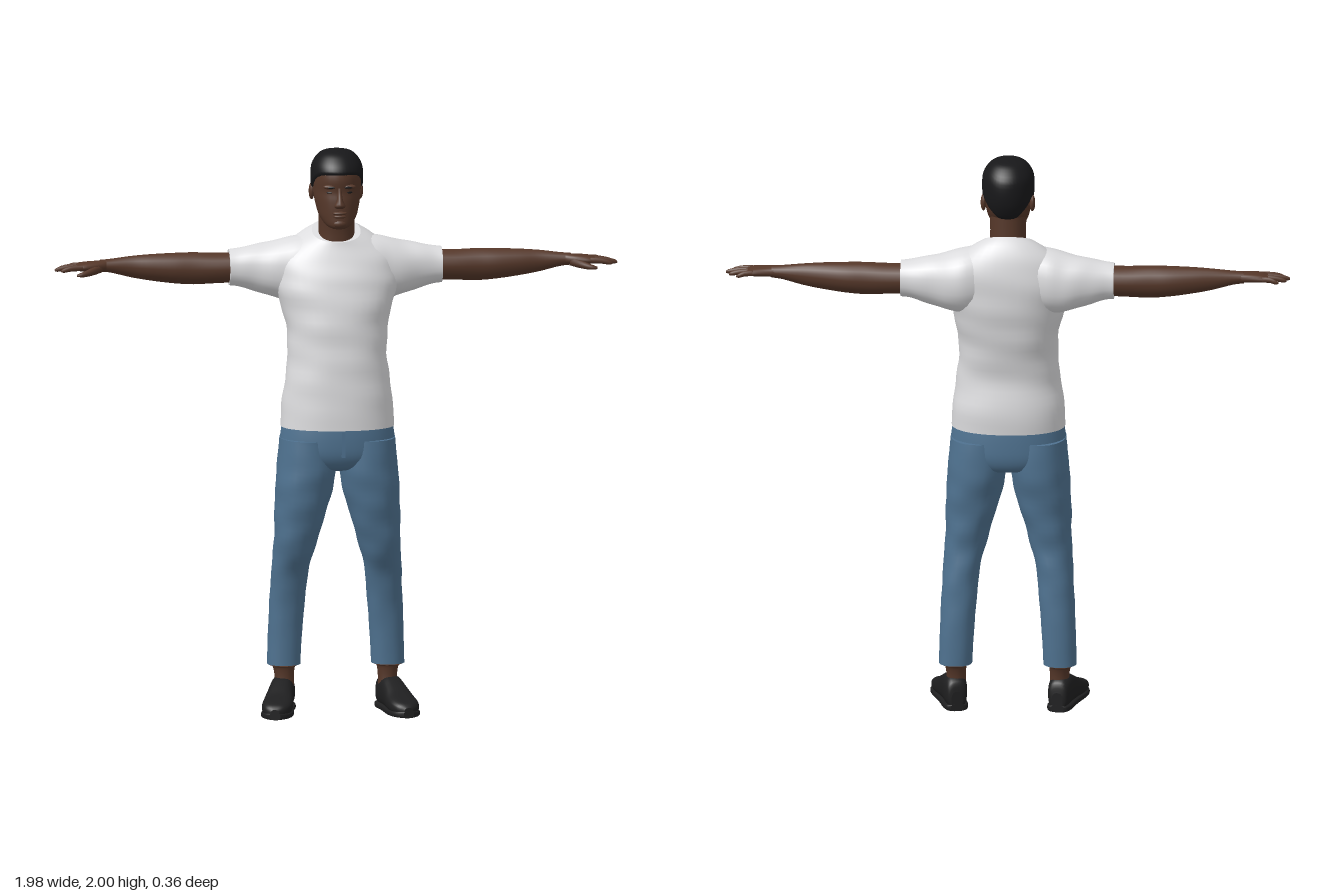
import * as THREE from 'three';

const mat = (name, color) => Object.assign(new THREE.MeshStandardMaterial({ color }), { name });
const skin = mat('skin', 0x553729), shirt = mat('shirt', 0xdcdcde), denim = mat('denim', 0x4f7290);
const black = mat('shoe black', 0x1f1f20), hairMat = mat('hair', 0x18181a);

// Catmull-Rom blend of a table of cross-sections at index position s
function sample(rows, s) {
  const i = Math.min(Math.floor(s), rows.length - 2), f = s - i;
  const at = k => rows[Math.max(0, Math.min(rows.length - 1, k))];
  return rows[i].map((b, c) => {
    const a = at(i - 1)[c], d = at(i + 1)[c], e = at(i + 2)[c];
    return b + 0.5 * f * (d - a + f * (2 * a - 5 * b + 4 * d - e + f * (3 * (b - d) + e - a)));
  });
}

// Closed skin over point(angle, v), with end caps, always wound outwards
function skinSurface(name, material, point, nu, nv) {
  const pos = [], idx = [];
  for (let j = 0; j <= nv; j++)
    for (let i = 0; i < nu; i++) pos.push(...point(i / nu * Math.PI * 2, j / nv));
  for (let j = 0; j < nv; j++)
    for (let i = 0; i < nu; i++) {
      const a = j * nu + i, b = j * nu + (i + 1) % nu;
      idx.push(a, b, b + nu, a, b + nu, a + nu);
    }
  for (const j of [0, nv]) {
    const start = pos.length / 3, mid = [0, 0, 0];
    for (let i = 0; i < nu; i++)
      for (let k = 0; k < 3; k++) {
        const v = pos[(j * nu + i) * 3 + k];
        pos.push(v);
        mid[k] += v / nu;
      }
    pos.push(...mid);
    for (let i = 0; i < nu; i++) {
      const a = start + i, b = start + (i + 1) % nu;
      idx.push(...(j ? [a, b, start + nu] : [b, a, start + nu]));
    }
  }
  const p = k => new THREE.Vector3().fromArray(pos, idx[k] * 3);
  let volume = 0;
  for (let k = 0; k < idx.length; k += 3) volume += p(k).dot(p(k + 1).cross(p(k + 2)));
  if (volume < 0) idx.reverse();
  const g = new THREE.BufferGeometry();
  g.setAttribute('position', new THREE.Float32BufferAttribute(pos, 3));
  g.setIndex(idx);
  g.computeVertexNormals();
  const mesh = new THREE.Mesh(g, material);
  mesh.name = name;
  return mesh;
}

const pow = (v, e) => Math.sign(v) * Math.abs(v) ** e;

// Section rows: [along, centreA, centreB, radiusA, radiusB, tilt]
function loft(name, material, rows, { axis = 'y', side = 1, nu = 28, e = 0.9, fold = 0, step = 4 } = {}) {
  return skinSurface(name, material, (ang, v) => {
    const [t, ca, cb, ra, rb, tilt = 0] = sample(rows, v * (rows.length - 1));
    const k = 1 + fold * (Math.sin(3 * ang + t * 38) + Math.sin(2 * ang - t * 61)) * Math.sin(v * Math.PI);
    const a = ca + k * ra * pow(Math.cos(ang), e), b = cb + k * rb * pow(Math.sin(ang), e);
    const q = axis === 'y' ? [a, t + tilt * (b - cb), b] : axis === 'x' ? [t, a, b] : [a, b, t];
    return [q[0] * side, q[1], q[2]];
  }, nu, (rows.length - 1) * step);
}

function blob(name, material, x, y, z, sx, sy, sz) {
  const m = new THREE.Mesh(new THREE.SphereGeometry(1, 16, 10), material);
  m.name = name;
  m.position.set(x, y, z);
  m.scale.set(sx, sy, sz);
  return m;
}

// Rows given as [y, half width, front z, back z, tilt]
const body = rows => rows.map(([y, w, f, b, t = 0]) => [y, 0, (f + b) / 2, w, (f - b) / 2, t]);

function buildHead() {
  const head = new THREE.Group();
  head.name = 'head';
  const rows = body([
    [1.728, 0.025, 0.088, 0.02], [1.74, 0.046, 0.1, -0.01], [1.77, 0.066, 0.1, -0.065],
    [1.80, 0.075, 0.1, -0.1], [1.83, 0.081, 0.098, -0.118], [1.86, 0.084, 0.094, -0.128],
    [1.90, 0.086, 0.098, -0.132], [1.94, 0.083, 0.088, -0.127], [1.97, 0.066, 0.062, -0.102],
    [1.986, 0.044, 0.034, -0.075], [1.992, 0.012, 0, -0.035]]);
  head.add(loft('skull and face', skin, rows, { e: 0.95, nu: 32 }));
  head.add(loft('neck', skin, body([[1.60, 0.08, 0.03, -0.12], [1.67, 0.066, 0.033, -0.106],
    [1.72, 0.063, 0.036, -0.103], [1.80, 0.064, 0.05, -0.1]])));

  // Close-cropped hair follows the skull above a hairline running from brow to nape
  const line = [[6.45], [6.45], [6.35], [5.9], [5.0], [5.0], [3.9], [2.9], [2.7]];
  head.add(skinSurface('hair', hairMat, (ang, v) => {
    const back = Math.abs(Math.atan2(Math.cos(ang), Math.sin(ang))) / Math.PI;
    const low = sample(line, back * 8)[0], s = low + (10 - low) * v;
    const [y, , cz, rx, rz] = sample(rows, s), puff = v === 0 ? -0.002 : 0.006;
    return [(rx + puff) * pow(Math.cos(ang), 0.95), y + puff * Math.max(0, s - 6) / 4,
      cz + (rz + puff) * pow(Math.sin(ang), 0.95)];
  }, 48, 20));

  // Facial features
  head.add(loft('nose', skin, [[1.803, 0, 0.096, 0.014, 0.006], [1.812, 0, 0.099, 0.02, 0.018],
    [1.83, 0, 0.096, 0.012, 0.017], [1.855, 0, 0.092, 0.008, 0.01], [1.875, 0, 0.09, 0.007, 0.006]], { nu: 14, e: 1 }));
  head.add(blob('upper lip', skin, 0, 1.786, 0.096, 0.026, 0.007, 0.012));
  head.add(blob('lower lip', skin, 0, 1.774, 0.095, 0.023, 0.007, 0.012));
  head.add(blob('chin', skin, 0, 1.748, 0.088, 0.026, 0.016, 0.016));
  for (const s of [-1, 1]) {
    head.add(blob('ear', skin, s * 0.086, 1.845, -0.05, 0.01, 0.03, 0.02));
    head.add(blob('brow ridge', skin, s * 0.032, 1.878, 0.082, 0.026, 0.009, 0.014));
    const eye = blob('eye', hairMat, s * 0.033, 1.858, 0.0835, 0.013, 0.004, 0.004);
    eye.rotation.y = s * 0.3;
    const brow = blob('eyebrow', hairMat, s * 0.034, 1.877, 0.0935, 0.019, 0.0035, 0.004);
    brow.rotation.y = s * 0.3;
    head.add(eye, brow);
  }
  return head;
}

function buildArm(side) {
  const arm = new THREE.Group();
  arm.name = side > 0 ? 'left arm' : 'right arm';
  const x = { axis: 'x', side };
  arm.add(loft('sleeve', shirt, [[0.06, 1.59, -0.06, 0.105, 0.09], [0.14, 1.57, -0.07, 0.115, 0.103],
    [0.20, 1.565, -0.076, 0.104, 0.098], [0.28, 1.57, -0.081, 0.083, 0.081],
    [0.34, 1.573, -0.081, 0.068, 0.069], [0.375, 1.573, -0.081, 0.063, 0.066]], { ...x, fold: 0.01 }));
  arm.add(loft('bare arm', skin, [[0.33, 1.573, -0.08, 0.053, 0.058], [0.42, 1.571, -0.08, 0.054, 0.056],
    [0.50, 1.571, -0.08, 0.057, 0.052], [0.57, 1.573, -0.079, 0.054, 0.05], [0.65, 1.577, -0.077, 0.047, 0.041],
    [0.72, 1.581, -0.075, 0.038, 0.031], [0.79, 1.586, -0.07, 0.025, 0.026], [0.83, 1.587, -0.067, 0.021, 0.025]],
    { ...x, nu: 20, e: 1 }));
  arm.add(loft('palm', skin, [[0.81, 1.587, -0.067, 0.02, 0.025], [0.85, 1.587, -0.06, 0.018, 0.035],
    [0.89, 1.586, -0.058, 0.016, 0.041], [0.915, 1.584, -0.06, 0.011, 0.039]], { ...x, nu: 18, step: 3 }));
  // Fingers: base z, tip z, tip x
  [[-0.027, -0.018, 0.972], [-0.048, -0.045, 0.992], [-0.069, -0.073, 0.98], [-0.089, -0.1, 0.953]].forEach(([z0, z1, tip]) => {
    arm.add(loft('finger', skin, [[0.895, 1.586, z0, 0.011, 0.011], [(0.895 + tip) / 2, 1.585, (z0 + z1) / 2, 0.010, 0.0095],
      [tip - 0.01, 1.579, z1, 0.008, 0.008], [tip, 1.577, z1, 0.003, 0.003]], { ...x, nu: 8, e: 1, step: 2 }));
  });
  arm.add(loft('thumb', skin, [[0.825, 1.58, -0.05, 0.014, 0.014], [0.86, 1.574, -0.02, 0.014, 0.015],
    [0.895, 1.567, 0, 0.010, 0.011], [0.918, 1.564, 0.005, 0.004, 0.005]], { ...x, nu: 10, e: 1, step: 3 }));
  return arm;
}

function buildLeg(side) {
  const leg = new THREE.Group();
  leg.name = side > 0 ? 'left leg' : 'right leg';
  // Rows: y, outer x, inner x, front z, back z
  const rows = [[0.98, 0.203, 0.004, 0.14, -0.135], [0.90, 0.21, 0.001, 0.143, -0.14], [0.83, 0.216, 0.012, 0.142, -0.135],
    [0.75, 0.22, 0.03, 0.13, -0.122], [0.66, 0.221, 0.058, 0.112, -0.112], [0.58, 0.224, 0.08, 0.09, -0.106],
    [0.50, 0.229, 0.1, 0.052, -0.113], [0.40, 0.234, 0.109, 0.025, -0.118], [0.28, 0.239, 0.119, 0.01, -0.122],
    [0.165, 0.242, 0.125, 0.004, -0.12]];
  leg.add(loft('trouser leg', denim, rows.map(([y, o, i, f, b]) => [y, (o + i) / 2, (f + b) / 2, (o - i) / 2, (f - b) / 2]),
    { side, fold: 0.014 }));
  leg.add(loft('ankle', skin, [[0.161, 0.184, -0.058, 0.05, 0.054], [0.155, 0.183, -0.055, 0.039, 0.045],
    [0.12, 0.182, -0.052, 0.034, 0.04], [0.07, 0.182, -0.05, 0.035, 0.042]], { side, nu: 18 }));

  // Shoe turned slightly outwards; rows: z, half width, height
  const shoe = new THREE.Group();
  shoe.name = 'shoe';
  const shape = [[-0.112, 0.02, 0.07], [-0.104, 0.034, 0.105], [-0.07, 0.042, 0.122], [-0.02, 0.043, 0.12],
    [0.03, 0.047, 0.1], [0.08, 0.053, 0.077], [0.13, 0.052, 0.062], [0.162, 0.038, 0.05], [0.178, 0.016, 0.036]];
  shoe.add(loft('shoe upper', black, shape.map(([z, w, h]) => [z, 0, h / 2 + 0.004, w, h / 2 - 0.004]), { axis: 'z', e: 0.75 }));
  shoe.add(loft('sole', black, shape.map(([z, w]) => [z * 1.01, 0, 0.012, w + 0.003, 0.012]), { axis: 'z', e: 0.5 }));
  shoe.position.x = side * 0.199;
  shoe.rotation.y = side * 0.21;
  leg.add(shoe);
  return leg;
}

export function createModel() {
  const model = new THREE.Group();
  model.name = 'standing man';
  model.add(buildHead());
  model.add(loft('shirt body', shirt, body([
    [1.02, 0.200, 0.152, -0.145], [1.10, 0.196, 0.150, -0.149], [1.20, 0.182, 0.143, -0.133],
    [1.30, 0.174, 0.134, -0.147], [1.40, 0.184, 0.125, -0.167], [1.50, 0.212, 0.106, -0.179],
    [1.57, 0.220, 0.086, -0.181, -0.1], [1.63, 0.198, 0.066, -0.168, -0.2], [1.68, 0.135, 0.046, -0.140, -0.32],
    [1.705, 0.086, 0.038, -0.112, -0.42]]), { nu: 40, fold: 0.009 }));
  model.add(loft('trouser seat', denim, body([[1.04, 0.193, 0.143, -0.136], [0.98, 0.202, 0.147, -0.141],
    [0.92, 0.205, 0.142, -0.14], [0.88, 0.17, 0.115, -0.12], [0.865, 0.09, 0.06, -0.07]]), { nu: 36 }));
  // Fly seam
  const fly = new THREE.Mesh(new THREE.BoxGeometry(0.012, 0.09, 0.006), denim);
  fly.name = 'fly seam';
  fly.position.set(0.008, 0.97, 0.146);
  model.add(fly);
  for (const side of [1, -1]) model.add(buildArm(side), buildLeg(side));
  return model;
}
